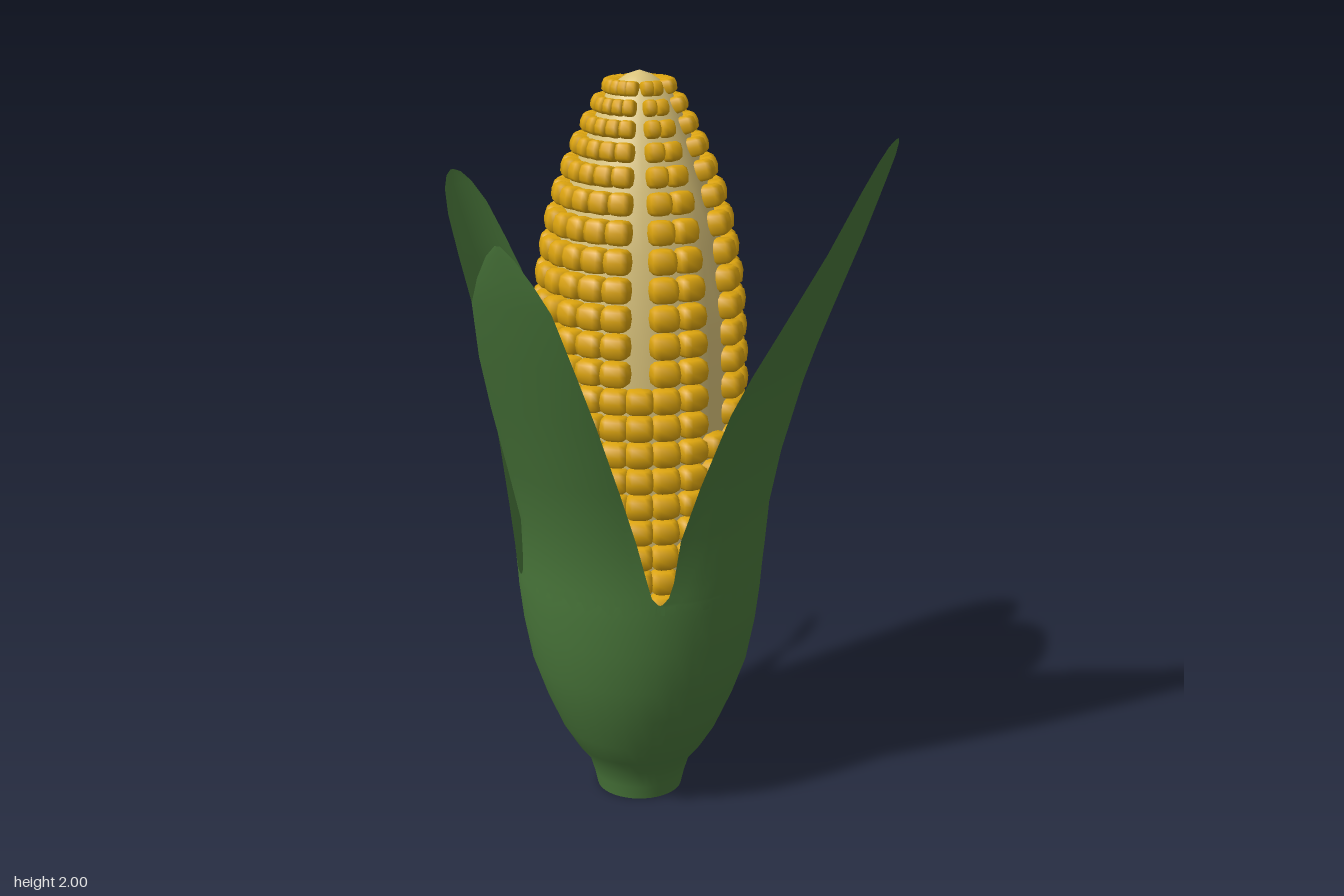
import * as THREE from 'three';
import { mergeGeometries, mergeVertices } from 'three/addons/utils/BufferGeometryUtils.js';

const green = new THREE.MeshStandardMaterial({ color: 0x4a783b, side: THREE.DoubleSide });
green.name = 'husk green';
const yellow = new THREE.MeshStandardMaterial({ color: 0xdca40e });
yellow.name = 'kernel yellow';
const cream = new THREE.MeshStandardMaterial({ color: 0xd9c27a });
cream.name = 'cob cream';

const DEG = Math.PI / 180;

// Piecewise linear lookup in a list of [key, value]
function lookup(list, key) {
  for (let i = 1; i < list.length; i++) {
    const [k0, v0] = list[i - 1], [k1, v1] = list[i];
    if (key <= k1) return v0 + (v1 - v0) * Math.max(0, (key - k0) / (k1 - k0));
  }
  return list[list.length - 1][1];
}

function lathe(points, segments) {
  return new THREE.LatheGeometry(points.map(([r, y]) => new THREE.Vector2(r, y)), segments);
}

function part(name, geometry, material) {
  const mesh = new THREE.Mesh(geometry, material);
  mesh.name = name;
  return mesh;
}

// Curved leaf from cross-section arcs; rows are [height, outward, half width, half arc in degrees]
const RIM = 0.335;
function leaf(angle, span, rows) {
  const root = [[0.64, 0], [0.665, 0], [0.672, 3], [0.69, 5.5], [0.73, 7]].map(([y, cut]) => {
    const a = span - cut;
    return [y, RIM + (y - 0.665) * 0.1, RIM * Math.sin(a * DEG), a];
  });
  const all = [...root, ...rows];
  const nu = 14;
  const geo = new THREE.PlaneGeometry(2, 2, nu, all.length - 1);
  const pos = geo.attributes.position;
  const sin = Math.sin(angle * DEG), cos = Math.cos(angle * DEG);
  for (let i = 0; i < pos.count; i++) {
    const [y, out, w, arc] = all[all.length - 1 - Math.floor(i / (nu + 1))];
    const phi = arc * DEG, u = pos.getX(i);
    const r = w / Math.sin(phi);
    const side = r * Math.sin(u * phi);
    const o = out - r * (1 - Math.cos(u * phi));
    pos.setXYZ(i, sin * o + cos * side, y, cos * o - sin * side);
  }
  geo.computeVertexNormals();
  return geo;
}

// One kernel: a sphere squared off towards a rounded box
function kernelShape() {
  let geo = new THREE.SphereGeometry(1, 10, 6);
  geo.deleteAttribute('uv');
  geo.deleteAttribute('normal');
  const pos = geo.attributes.position;
  const square = (v) => Math.sign(v) * Math.pow(Math.abs(v), 0.62);
  for (let i = 0; i < pos.count; i++) {
    pos.setXYZ(i, square(pos.getX(i)), square(pos.getY(i)), square(pos.getZ(i)));
  }
  geo = mergeVertices(geo, 1e-3);
  geo.computeVertexNormals();
  return geo;
}

// Outer radius of the kernels by height
const girth = [[0.6, 0.28], [1.0, 0.293], [1.25, 0.29], [1.45, 0.278], [1.6, 0.253],
  [1.7, 0.225], [1.8, 0.185], [1.9, 0.135], [1.97, 0.09]];

function kernels() {
  const full = [182, 165, 149, 131, 114, 97, 60, 43, 14, -1, -16, -31, -49, -65, -79, -94, -112, -130, -153];
  const columns = [...full.map((a) => [a, 1.97]), [78, 1.1], [28, 1.22]];
  const shape = kernelShape();
  const list = [];
  const step = (y) => lookup([[1.6, 0.0705], [1.95, 0.042]], y);
  for (const [angle, top] of columns) {
    for (let y = 0.635; y < top; y += step(y)) {
      const r = lookup(girth, y);
      const tilt = Math.atan((lookup(girth, y - 0.04) - lookup(girth, y + 0.04)) / 0.08) * 0.6;
      const g = shape.clone();
      g.scale(Math.max(0.018, 0.14 * r), step(y) * 0.48, 0.022 + 0.075 * r);
      g.rotateX(-tilt);
      g.translate(0, y, r - 0.022 - 0.075 * r);
      g.rotateY(angle * DEG);
      list.push(g);
    }
  }
  return mergeGeometries(list);
}

export function createModel() {
  const model = new THREE.Group();
  model.name = 'cornEar';
  const ear = new THREE.Group();
  ear.name = 'ear';
  ear.position.set(-0.06, 0, -0.135);
  model.add(ear);

  // Husk cup with a closed stem end
  ear.add(part('huskCup', lathe([[0.118, 0], [0.127, 0.04], [0.142, 0.09], [0.178, 0.135], [0.218, 0.2],
    [0.262, 0.3], [0.297, 0.4], [0.32, 0.52], [0.332, 0.62], [RIM, 0.665]], 40), green));
  const stem = new THREE.CircleGeometry(0.118, 40);
  stem.rotateX(Math.PI / 2);
  ear.add(part('stemEnd', stem, green));

  // Four leaves peeling away from the cob
  ear.add(part('frontLeaf', leaf(-3.5, 42.5, [
    [0.85, 0.36, 0.178, 32], [1.0, 0.412, 0.169, 26], [1.2, 0.487, 0.156, 18], [1.35, 0.545, 0.14, 13],
    [1.5, 0.597, 0.115, 10], [1.57, 0.617, 0.08, 9], [1.63, 0.632, 0.04, 8], [1.66, 0.638, 0.008, 8]]), green));
  ear.add(part('leftLeaf', leaf(93, 58, [
    [0.85, 0.35, 0.264, 46], [1.0, 0.378, 0.26, 38], [1.2, 0.432, 0.25, 30], [1.3, 0.465, 0.233, 25],
    [1.4, 0.502, 0.207, 20], [1.6, 0.583, 0.14, 15], [1.75, 0.64, 0.094, 12], [1.82, 0.667, 0.066, 10],
    [1.855, 0.68, 0.038, 10], [1.87, 0.686, 0.01, 10]]), green));
  ear.add(part('backLeaf', leaf(191, 38.5, [
    [0.85, 0.325, 0.188, 38], [1.0, 0.314, 0.188, 38], [1.2, 0.312, 0.184, 37], [1.4, 0.325, 0.165, 36],
    [1.6, 0.358, 0.13, 36], [1.7, 0.368, 0.1, 30], [1.78, 0.371, 0.066, 22], [1.83, 0.371, 0.03, 14],
    [1.84, 0.371, 0.008, 10]]), green));
  ear.add(part('rightLeaf', leaf(271, 41, [
    [0.85, 0.353, 0.197, 33], [1.0, 0.369, 0.192, 28], [1.2, 0.403, 0.175, 23], [1.35, 0.442, 0.152, 20],
    [1.5, 0.498, 0.124, 17], [1.6, 0.535, 0.1, 14], [1.66, 0.558, 0.068, 12], [1.69, 0.568, 0.036, 10],
    [1.7, 0.571, 0.008, 10]]), green));

  // Cob core and its rows of kernels
  const cob = new THREE.Group();
  cob.name = 'cob';
  cob.position.set(0.003, 0, 0.01);
  cob.add(part('core', lathe([[0.22, 0.55], [0.247, 0.8], [0.25, 1.1], [0.243, 1.35], [0.217, 1.57],
    [0.175, 1.73], [0.12, 1.87], [0.075, 1.96], [0.03, 1.99], [0, 2.0]], 24), cream));
  cob.add(part('kernels', kernels(), yellow));
  ear.add(cob);
  return model;
}
